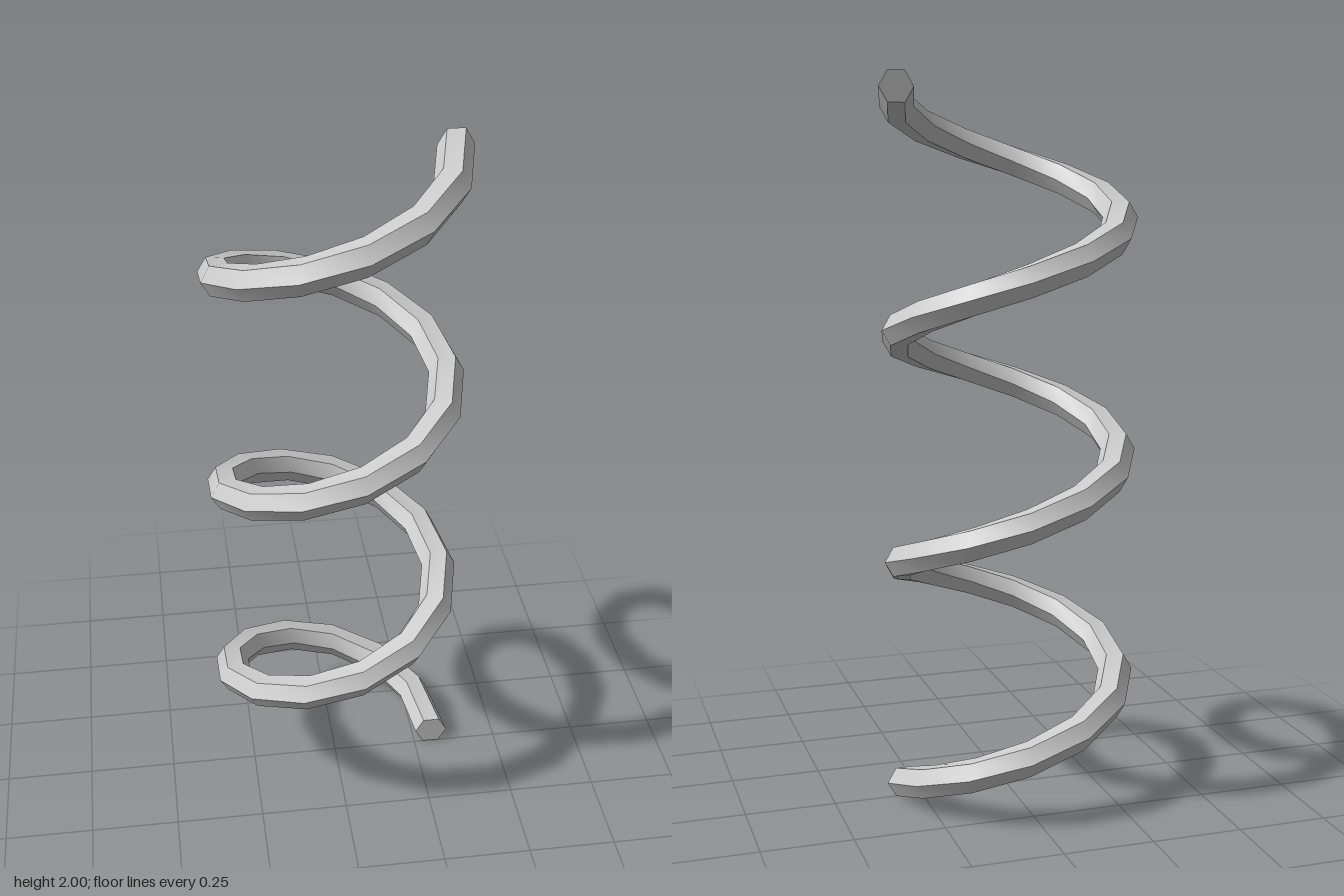
import * as THREE from 'three';
import { toCreasedNormals } from 'three/addons/utils/BufferGeometryUtils.js';

const TURNS = 3;
const STEPS_PER_TURN = 13;
const COIL_RADIUS = 0.306;
const WIRE_RADIUS = 0.048;
const HALF_HEIGHT = WIRE_RADIUS * Math.sqrt(3) / 2; // flat-topped hexagon
const CENTRE_SHIFT = -0.005; // balances the 13-sided outline on x = 0

// Hexagonal bar wound into a helix, each section kept in its radial plane
function coilGeometry() {
  const geometry = new THREE.CylinderGeometry(1, 1, 1, 6, TURNS * STEPS_PER_TURN);
  const pos = geometry.attributes.position;
  for (let i = 0; i < pos.count; i++) {
    const t = pos.getY(i) + 0.5;
    const angle = t * TURNS * Math.PI * 2;
    const radius = COIL_RADIUS + WIRE_RADIUS * pos.getZ(i);
    const height = THREE.MathUtils.lerp(HALF_HEIGHT, 2 - HALF_HEIGHT, t);
    pos.setXYZ(
      i,
      Math.cos(angle) * radius + CENTRE_SHIFT,
      height - WIRE_RADIUS * pos.getX(i),
      -Math.sin(angle) * radius
    );
  }
  // Smooth along the winding, sharp along the bar's six edges
  return toCreasedNormals(geometry, 0.6);
}

export function createModel() {
  const group = new THREE.Group();
  group.name = 'spring';
  const coil = new THREE.Mesh(coilGeometry(), new THREE.MeshStandardMaterial({ color: 0xcccccc }));
  coil.name = 'coil';
  group.add(coil);
  return group;
}
